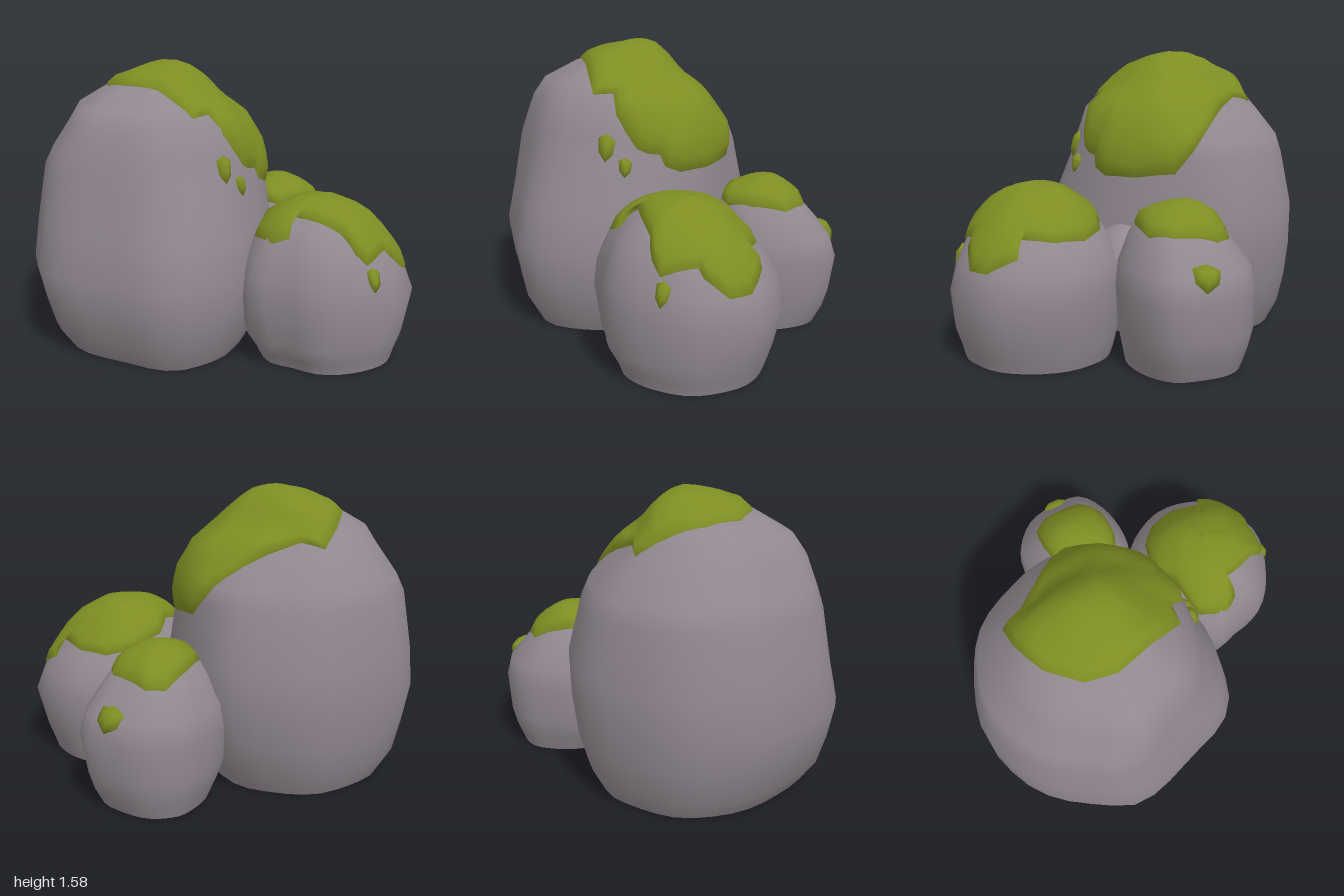
import * as THREE from 'three';

const stone = new THREE.MeshStandardMaterial({ color: 0x91888f });
stone.name = 'grey stone';
const moss = new THREE.MeshStandardMaterial({ color: 0x7e8d22 });
moss.name = 'green moss';

// The base faces join after the normals are made, so the shading rolls softly under
function meshFrom(positions, index, material, name, base = []) {
  const g = new THREE.BufferGeometry();
  g.setAttribute('position', new THREE.Float32BufferAttribute(positions, 3));
  g.setIndex(index);
  g.computeVertexNormals();
  g.setIndex([...index, ...base]);
  const m = new THREE.Mesh(g, material);
  m.name = name;
  return m;
}

// Boulder: one plan outline [x, z], fitted to the box [y, x0, x1, z0, z1, lean] of each level;
// lean pushes the diagonal corners towards the front right
function boulder(name, outline, levels, apex) {
  const curve = new THREE.CatmullRomCurve3(outline.map(([x, z]) => new THREE.Vector3(x, 0, z)), true);
  const n = 36;
  const pts = curve.getSpacedPoints(n).slice(0, n);
  const box = new THREE.Box3().setFromPoints(pts);
  const size = box.getSize(new THREE.Vector3());
  const pos = [], idx = [], base = [];
  for (const [y, x0, x1, z0, z1, lean = 0] of levels)
    for (const p of pts) {
      const u = (p.x - box.min.x) / size.x, v = (p.z - box.min.z) / size.z;
      const push = lean * Math.max(0, -(2 * u - 1) * (2 * v - 1));
      pos.push(x0 + (x1 - x0) * u - push, y, z0 + (z1 - z0) * v + push);
    }
  const top = levels.length * n, last = top - n;
  pos.push(...apex);
  for (let i = 0; i < n; i++) {
    const k = (i + 1) % n;
    for (let j = 0; j < levels.length - 1; j++) {
      const a = j * n + i, b = j * n + k;
      idx.push(a, b, b + n, a, b + n, a + n);
    }
    idx.push(last + i, last + k, top);
  }
  // Flat underside as a zigzag strip
  for (let lo = 0, hi = n - 1; hi - lo > 1; lo++, hi--) {
    base.push(lo, hi, lo + 1);
    if (hi - 1 > lo + 1) base.push(lo + 1, hi, hi - 1);
  }
  return meshFrom(pos, idx, stone, name, base);
}

// Moss: rings from a middle point out to a ragged border, laid on the boulder
function mossPatch(name, rock, core, middle, border, rings = 7, thick = 0.03) {
  const C = new THREE.Vector3(...core), M = new THREE.Vector3(...middle);
  const ray = new THREE.Raycaster();
  const lay = (p, lift) => {
    const d = p.clone().sub(C).normalize();
    ray.set(C.clone().addScaledVector(d, 4), d.clone().negate());
    const hit = ray.intersectObject(rock)[0];
    return (hit ? hit.point : p).clone().addScaledVector(d, lift).toArray();
  };
  const edge = [];
  border.forEach((b, i) => {
    const p = new THREE.Vector3(...b), q = new THREE.Vector3(...border[(i + 1) % border.length]);
    edge.push(p, p.clone().lerp(q, 0.5));
  });
  const n = edge.length, pos = [...lay(M, thick)], idx = [];
  for (let r = 1; r <= rings + 1; r++)
    for (const e of edge) {
      const p = M.clone().lerp(e, Math.min(r / rings, 1));
      const lump = 0.01 * Math.sin(17 * p.x + 5 * p.z) * Math.sin(15 * p.z + 9 * p.y);
      pos.push(...lay(p, r > rings ? -0.02 : r === rings ? 0.01 : thick + lump));
    }
  for (let i = 0; i < n; i++) {
    const k = (i + 1) % n;
    idx.push(0, 1 + i, 1 + k);
    for (let r = 0; r < rings; r++) {
      const a = 1 + r * n + i, b = 1 + r * n + k;
      idx.push(a, a + n, b + n, a, b + n, b);
    }
  }
  return meshFrom(pos, idx, moss, name);
}

// Small loose tuft of moss
function mossSpot(name, rock, core, at, w, h) {
  const p = new THREE.Vector3(...at);
  const d = p.clone().sub(new THREE.Vector3(...core)).normalize();
  const t1 = new THREE.Vector3(0, 1, 0).cross(d).normalize(), t2 = d.clone().cross(t1);
  const border = [];
  for (let i = 0; i < 6; i++) {
    const a = i * Math.PI / 3 + 0.4, s = i % 2 ? 0.9 : 1.08;
    border.push(p.clone().addScaledVector(t1, w * s * Math.cos(a)).addScaledVector(t2, h * s * Math.sin(a)).toArray());
  }
  return mossPatch(name, rock, core, at, border, 2, 0.025);
}

export function createModel() {
  const model = new THREE.Group();
  model.name = 'mossyBoulders';

  // Large boulder
  const large = boulder('largeBoulder',
    [[-1, -0.2], [-1, 0.06], [-0.93, 0.18], [-0.7, 0.4], [-0.55, 0.54], [-0.39, 0.61], [-0.05, 0.53], [0.12, 0.4],
      [0.28, 0.22], [0.36, 0], [0.37, -0.25], [0.33, -0.55], [0.23, -0.67], [0.02, -0.83], [-0.15, -0.885],
      [-0.56, -0.84], [-0.72, -0.76], [-0.9, -0.56], [-0.97, -0.4]],
    [[0, -0.82, 0.21, -0.76, 0.49], [0.13, -0.91, 0.28, -0.825, 0.56], [0.3, -0.96, 0.34, -0.86, 0.6],
      [0.48, -1, 0.365, -0.88, 0.61], [0.7, -0.965, 0.37, -0.885, 0.555, 0.01], [1, -0.91, 0.345, -0.83, 0.43, 0.07],
      [1.1, -0.86, 0.33, -0.8, 0.395, 0.1], [1.25, -0.77, 0.235, -0.68, 0.345, 0.12],
      [1.35, -0.71, 0.11, -0.59, 0.25, 0.11], [1.45, -0.53, 0, -0.48, 0.11, 0.08],
      [1.52, -0.34, -0.09, -0.33, -0.02, 0.03]],
    [-0.19, 1.568, -0.17]);
  const largeCore = [-0.3, 0.7, -0.14];
  model.add(large,
    mossPatch('largeBoulderMoss', large, largeCore, [0, 1.4, -0.15],
      [[-0.5, 1.45, -0.04], [-0.35, 1.4, 0.1], [-0.2, 1.3, 0.26], [-0.1, 1.32, 0.22], [-0.04, 1.21, 0.28],
        [0.03, 1.13, 0.29], [0.1, 1.06, 0.29], [0.17, 1.05, 0.28], [0.25, 1.05, 0.24], [0.27, 0.97, 0.22],
        [0.33, 0.93, 0.15], [0.37, 0.92, -0.05],
        [0.36, 0.94, -0.27], [0.3, 1.05, -0.36], [0.15, 1.22, -0.46], [0.03, 1.3, -0.51], [-0.13, 1.36, -0.57],
        [-0.23, 1.32, -0.65], [-0.35, 1.4, -0.57], [-0.49, 1.44, -0.4], [-0.55, 1.45, -0.2]], 9),
    mossSpot('largeBoulderTuft', large, largeCore, [-0.05, 1.06, 0.37], 0.05, 0.075),
    mossSpot('largeBoulderSmallTuft', large, largeCore, [0.075, 0.97, 0.37], 0.042, 0.058));

  // Front boulder
  const front = boulder('frontBoulder',
    [[0, 0.5], [0.01, 0.58], [0.13, 0.7], [0.24, 0.82], [0.44, 0.88], [0.75, 0.835], [0.92, 0.68], [0.98, 0.58],
      [1, 0.47], [0.97, 0.29], [0.88, 0.14], [0.6, -0.01], [0.3, 0.05], [0.12, 0.18], [0.03, 0.35]],
    [[0, 0.13, 0.9, 0.05, 0.82], [0.06, 0.1, 0.92, 0.03, 0.835], [0.15, 0.04, 0.95, 0.01, 0.87],
      [0.36, 0, 1, -0.01, 0.885], [0.5, 0.01, 0.945, 0, 0.86], [0.6, 0.05, 0.88, 0.05, 0.82],
      [0.7, 0.1, 0.78, 0.13, 0.77], [0.78, 0.18, 0.7, 0.21, 0.69], [0.84, 0.3, 0.6, 0.3, 0.6]],
    [0.5, 0.885, 0.47]);
  const frontCore = [0.5, 0.4, 0.43];
  model.add(front,
    mossPatch('frontBoulderMoss', front, frontCore, [0.55, 0.88, 0.4],
      [[0.1, 0.68, 0.42], [0.15, 0.67, 0.58], [0.23, 0.69, 0.61], [0.27, 0.8, 0.54], [0.45, 0.74, 0.72],
        [0.5, 0.66, 0.8], [0.56, 0.6, 0.83], [0.65, 0.63, 0.77], [0.72, 0.65, 0.74], [0.75, 0.6, 0.74],
        [0.85, 0.5, 0.68], [0.9, 0.5, 0.58], [0.9, 0.58, 0.43], [0.81, 0.65, 0.49], [0.79, 0.64, 0.28],
        [0.7, 0.65, 0.13], [0.55, 0.68, 0.08], [0.35, 0.72, 0.16], [0.27, 0.78, 0.27]]),
    mossSpot('frontBoulderTuft', front, frontCore, [0.585, 0.525, 0.84], 0.038, 0.065));

  // Back boulder
  const back = boulder('backBoulder',
    [[0.2, -0.35], [0.3, -0.12], [0.45, -0.02], [0.62, 0], [0.88, -0.14], [1, -0.33], [0.93, -0.5], [0.8, -0.645],
      [0.6, -0.7], [0.45, -0.65], [0.3, -0.55]],
    [[0, 0.31, 0.89, -0.635, -0.04], [0.1, 0.26, 0.94, -0.67, -0.02], [0.2, 0.22, 0.97, -0.695, 0],
      [0.4, 0.2, 1, -0.7, 0.01], [0.52, 0.22, 0.96, -0.68, 0], [0.66, 0.28, 0.84, -0.57, -0.05],
      [0.75, 0.36, 0.74, -0.49, -0.11], [0.79, 0.45, 0.66, -0.42, -0.2]],
    [0.55, 0.81, -0.3]);
  const backCore = [0.6, 0.35, -0.34];
  model.add(back,
    mossPatch('backBoulderMoss', back, backCore, [0.56, 0.82, -0.31],
      [[0.37, 0.75, -0.12], [0.45, 0.72, -0.07], [0.6, 0.67, -0.12], [0.75, 0.65, -0.2], [0.79, 0.66, -0.32],
        [0.75, 0.68, -0.45], [0.72, 0.66, -0.52], [0.63, 0.67, -0.575], [0.5, 0.7, -0.5], [0.36, 0.74, -0.4]], 6),
    mossSpot('backBoulderTuft', back, backCore, [0.87, 0.515, -0.47], 0.07, 0.068));

  // Stone filling the gap where the three boulders meet
  const joint = new THREE.Mesh(new THREE.SphereGeometry(1, 16, 12), stone);
  joint.name = 'jointStone';
  joint.scale.set(0.28, 0.27, 0.2);
  joint.position.set(0.32, 0.39, 0.01);
  model.add(joint);

  return model;
}
